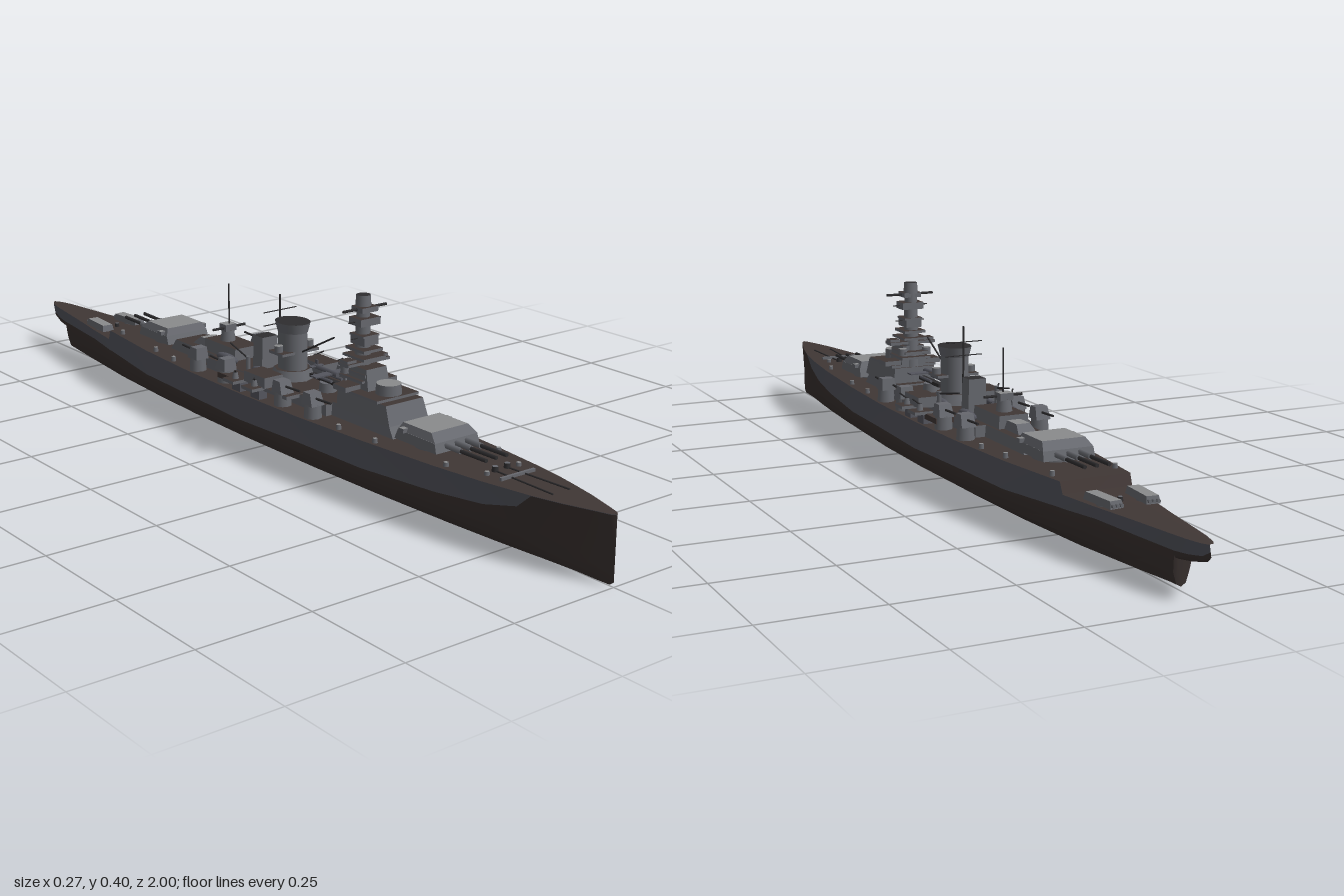
import * as THREE from 'three';
import { toCreasedNormals } from 'three/addons/utils/BufferGeometryUtils.js';

const mat = (name, color, extra = {}) => Object.assign(new THREE.MeshStandardMaterial({ color, ...extra }), { name });

export function createModel() {
  const ship = new THREE.Group();
  ship.name = 'warship';
  const brown = mat('deckBrown', 0x403735), hullDark = mat('hullDark', 0x3a3230), slate = mat('hullSlate', 0x54555e);
  const grey = mat('superstructureGrey', 0x66686e), light = mat('roofLightGrey', 0x8a8b8c), dark = mat('gunmetal', 0x2e2d2f);

  const add = (p, name, geo, m, x = 0, y = 0, z = 0) => {
    const o = new THREE.Mesh(geo, m);
    o.name = name;
    o.position.set(x, y, z);
    p.add(o);
    return o;
  };
  // Box standing on y; its top may be narrowed and its front and back slanted in.
  const house = (p, name, w, h, d, x, y, z, side = grey, top = brown, k = 1, front = 0, back = 0) => {
    const g = new THREE.BoxGeometry(w, h, d).translate(0, h / 2, 0);
    const a = g.attributes.position;
    for (let i = 0; i < a.count; i++) if (a.getY(i) > h / 2) {
      a.setX(i, a.getX(i) * k);
      a.setZ(i, a.getZ(i) + (a.getZ(i) > 0 ? -front : back));
    }
    g.computeVertexNormals();
    return add(p, name, g, [side, side, top, side, side, side], x, y, z);
  };
  const drum = (p, name, r0, r1, h, x, y, z, side = grey, top = side, n = 16) =>
    add(p, name, new THREE.CylinderGeometry(r1, r0, h, n).translate(0, h / 2, 0), [side, top, side], x, y, z);
  const rod = (p, name, a, b, r, m = dark) => {
    const v0 = new THREE.Vector3(...a), v1 = new THREE.Vector3(...b), dir = v1.clone().sub(v0);
    const o = add(p, name, new THREE.CylinderGeometry(r, r, dir.length(), 6), m);
    o.position.copy(v0).add(v1).multiplyScalar(0.5);
    o.quaternion.setFromUnitVectors(new THREE.Vector3(0, 1, 0), dir.normalize());
    return o;
  };
  const group = (name, x, y, z, ry = 0) => {
    const g = new THREE.Group();
    g.name = name;
    g.position.set(x, y, z);
    g.rotation.y = ry;
    ship.add(g);
    return g;
  };
  // Surface through rows of points.
  const loft = (rows, flip) => {
    const n = rows[0].length, idx = [];
    for (let i = 0; i < rows.length - 1; i++) for (let j = 0; j < n - 1; j++) {
      const a = i * n + j, b = a + 1, c = a + n, d = c + 1;
      idx.push(...(flip ? [a, c, b, b, c, d] : [a, b, c, b, d, c]));
    }
    const g = new THREE.BufferGeometry();
    g.setAttribute('position', new THREE.Float32BufferAttribute(rows.flat(2), 3));
    g.setIndex(idx);
    return toCreasedNormals(g, 0.6);
  };

  // Hull stations: z, deck half-width, waterline half-width, keel, paint line, deck height
  const stations = [
    [-1, 0.004, 0.001, 0.088, 0.098, 0.112], [-0.985, 0.013, 0.008, 0.076, 0.088, 0.112],
    [-0.95, 0.022, 0.015, 0.068, 0.083, 0.112], [-0.912, 0.028, 0.02, 0.062, 0.08, 0.112],
    [-0.906, 0.029, 0.02, 0.008, 0.08, 0.112], [-0.8, 0.045, 0.04, 0.005, 0.084, 0.112],
    [-0.7, 0.062, 0.058, 0.003, 0.088, 0.112], [-0.605, 0.077, 0.075, 0.001, 0.085, 0.113],
    [-0.595, 0.078, 0.076, 0.001, 0.085, 0.137], [-0.4, 0.1, 0.1, 0, 0.077, 0.136],
    [-0.2, 0.113, 0.114, 0, 0.08, 0.136], [0, 0.117, 0.118, 0, 0.076, 0.136],
    [0.2, 0.114, 0.114, 0, 0.08, 0.136], [0.4, 0.104, 0.101, 0, 0.076, 0.137],
    [0.6, 0.088, 0.08, 0, 0.082, 0.138], [0.72, 0.074, 0.062, 0, 0.09, 0.139],
    [0.8, 0.061, 0.047, 0, 0.108, 0.14], [0.835, 0.054, 0.039, 0, 0.139, 0.14],
    [0.9, 0.038, 0.024, 0, 0.14, 0.141], [0.96, 0.019, 0.009, 0.001, 0.141, 0.142],
    [0.99, 0.009, 0.003, 0.002, 0.141, 0.142], [1, 0.001, 0.0005, 0.01, 0.141, 0.142]];
  const lower = [], upper = [], deckRows = [];
  for (const [z, w, wl, keel, paint, deck] of stations) {
    const bilge = Math.max(0.072, keel + 0.006);
    const wp = THREE.MathUtils.lerp(wl, w, (paint - bilge) / (deck - bilge));
    const at = (x, f) => [x * wl, keel + (bilge - keel) * f, z];
    lower.push([at(0, 0), at(0.5, 0.1), at(0.86, 0.45), at(1, 0.9), [wp, paint, z]]);
    upper.push([[wp, paint, z], [w, deck, z]]);
    deckRows.push([[-w, deck, z], [0, deck + 0.001, z], [w, deck, z]]);
  }
  const mirror = rows => rows.map(r => r.map(([x, y, z]) => [-x, y, z]));
  add(ship, 'lowerHullLeft', loft(lower, false), hullDark);
  add(ship, 'lowerHullRight', loft(mirror(lower), true), hullDark);
  add(ship, 'upperHullLeft', loft(upper, false), slate);
  add(ship, 'upperHullRight', loft(mirror(upper), true), slate);
  add(ship, 'mainDeck', loft(deckRows, true), brown);

  // Triple main turrets
  for (const [name, y, z, ry] of [['foreTurret', 0.138, 0.515, 0], ['aftTurret', 0.14, -0.43, Math.PI]]) {
    const t = group(name, 0, y, z, ry);
    drum(t, 'barbette', 0.047, 0.047, 0.012, 0, 0, 0, grey, brown, 20);
    house(t, 'turretBody', 0.116, 0.02, 0.125, 0, 0.009, 0, grey, light, 0.98, 0.006, 0.008);
    house(t, 'turretRoof', 0.113, 0.016, 0.112, 0, 0.029, 0.001, grey, light, 0.86, 0.02, 0.008);
    house(t, 'rangefinderArms', 0.13, 0.009, 0.014, 0, 0.029, -0.035, grey, light);
    for (const x of [-0.027, 0, 0.027]) {
      rod(t, 'gunSleeve', [x, 0.02, 0.05], [x, 0.02, 0.1], 0.0065, grey);
      rod(t, 'gunBarrel', [x, 0.02, 0.1], [x, 0.021, 0.172], 0.0045);
    }
  }

  // Long deckhouses
  house(ship, 'foreDeckhouse', 0.1, 0.03, 0.2, 0, 0.136, 0.34, grey, brown, 0.95, 0.02);
  house(ship, 'midDeckhouse', 0.13, 0.026, 0.44, 0, 0.136, 0.02);
  house(ship, 'aftDeckhouse', 0.085, 0.026, 0.2, 0, 0.136, -0.28, grey, brown, 0.95, 0, 0.02);
  house(ship, 'crossDeck', 0.215, 0.012, 0.07, 0, 0.148, -0.06, brown);
  house(ship, 'gunDeck', 0.2, 0.008, 0.1, 0, 0.155, 0.1, grey);

  // Bridge block
  house(ship, 'bridgeBase', 0.105, 0.04, 0.17, 0, 0.162, 0.345, grey, brown, 0.95, 0.015);
  house(ship, 'bridgeDeck', 0.112, 0.006, 0.13, 0, 0.202, 0.33, grey);
  drum(ship, 'conningTower', 0.028, 0.026, 0.026, 0, 0.204, 0.365, grey, light);
  house(ship, 'bridgeWings', 0.14, 0.011, 0.04, 0, 0.207, 0.29, grey);
  house(ship, 'upperBridge', 0.06, 0.045, 0.07, 0, 0.207, 0.3, grey, brown, 0.9, 0.01);

  // Fighting mast with its platforms: half-width, y, height, depth
  drum(ship, 'towerMast', 0.021, 0.014, 0.21, 0, 0.165, 0.28, grey, grey, 12);
  for (const [w, y, h, d] of [[0.036, 0.223, 0.005, 0.075], [0.03, 0.235, 0.006, 0.08], [0.056, 0.256, 0.006, 0.035],
    [0.03, 0.268, 0.005, 0.07], [0.026, 0.283, 0.006, 0.06], [0.019, 0.296, 0.02, 0.045], [0.022, 0.314, 0.004, 0.045],
    [0.026, 0.338, 0.016, 0.04], [0.021, 0.366, 0.011, 0.036]])
    house(ship, 'mastPlatform', w * 2, h, d, 0, y, 0.285, grey);
  drum(ship, 'mastHead', 0.017, 0.015, 0.025, 0, 0.375, 0.28, grey, dark);
  for (const [half, y, r] of [[0.058, 0.372, 0.003], [0.043, 0.346, 0.0015], [0.036, 0.31, 0.0012]])
    rod(ship, 'rangefinderBar', [-half, y, 0.285], [half, y, 0.285], r);
  for (const s of [-1, 1]) {
    house(ship, 'searchlight', 0.024, 0.014, 0.024, s * 0.043, 0.254, 0.285);
    drum(ship, 'bridgeDirector', 0.011, 0.01, 0.016, s * 0.03, 0.232, 0.26, grey, light, 10);
  }

  // Funnel with rim, cap and pole mast
  const oval = drum(ship, 'funnel', 0.036, 0.035, 0.12, 0, 0.158, 0.04, grey, dark, 24);
  oval.scale.x = 0.85;
  drum(ship, 'funnelBase', 0.05, 0.042, 0.025, 0, 0.16, 0.04, grey, brown, 8);
  drum(ship, 'funnelCap', 0.037, 0.043, 0.022, 0, 0.268, 0.04, grey, dark, 24).scale.x = 0.85;
  house(ship, 'funnelPlatform', 0.1, 0.006, 0.05, 0, 0.222, 0.045, grey);
  rod(ship, 'mainMast', [0, 0.16, -0.004], [0, 0.34, -0.006], 0.0022);
  for (const y of [0.275, 0.305]) rod(ship, 'mastYard', [-0.045, y, -0.006], [0.045, y, -0.006], 0.0012);
  rod(ship, 'boom', [0, 0.225, 0.07], [0, 0.285, 0.185], 0.002);
  for (const s of [-1, 1]) {
    drum(ship, 'funnelSearchlight', 0.01, 0.01, 0.014, s * 0.042, 0.228, 0.045, grey, light, 10);
    rod(ship, 'crane', [s * 0.07, 0.15, -0.03], [s * 0.07, 0.205, -0.03], 0.005, grey);
    rod(ship, 'craneJib', [s * 0.07, 0.2, -0.03], [s * 0.06, 0.215, -0.11], 0.002);
  }

  // Catapult and seaplane
  drum(ship, 'catapultPedestal', 0.02, 0.018, 0.022, 0, 0.16, 0.165);
  house(ship, 'catapultRail', 0.014, 0.008, 0.11, 0, 0.181, 0.165, dark, dark);
  const plane = group('seaplane', 0, 0.205, 0.165);
  rod(plane, 'fuselage', [0, 0, 0.034], [0, 0.002, -0.045], 0.006, slate);
  house(plane, 'wing', 0.1, 0.003, 0.02, 0, -0.002, 0.012, slate, slate);
  house(plane, 'tailPlane', 0.034, 0.002, 0.01, 0, 0.002, -0.04, slate, slate);
  house(plane, 'fin', 0.002, 0.014, 0.01, 0, 0.003, -0.04, slate, slate);
  for (const s of [-1, 1]) rod(plane, 'float', [s * 0.014, -0.013, 0.03], [s * 0.014, -0.013, -0.03], 0.0035, slate);

  // Aft control station and its pole
  house(ship, 'aftHouse', 0.07, 0.03, 0.12, 0, 0.16, -0.19, grey, brown, 0.95);
  house(ship, 'aftStep', 0.045, 0.02, 0.085, 0, 0.16, -0.275, grey, light, 0.7, 0, 0.025);
  drum(ship, 'aftDirectorBase', 0.018, 0.014, 0.028, 0, 0.188, -0.205, grey, brown, 12);
  house(ship, 'aftDirector', 0.03, 0.016, 0.026, 0, 0.214, -0.205, grey, light);
  rod(ship, 'aftRangefinder', [-0.045, 0.222, -0.2], [0.045, 0.222, -0.2], 0.003);
  rod(ship, 'aftPole', [0, 0.225, -0.2], [0, 0.325, -0.2], 0.0018);
  house(ship, 'ventTrunk', 0.045, 0.075, 0.034, 0, 0.16, -0.06, grey, dark, 0.9);

  for (const s of [-1, 1]) {
    // Secondary guns along each side
    for (const z of [0.225, 0.12, -0.09, -0.2]) {
      const g = group('secondaryGun', s * 0.088, 0.136, z, z > 0 ? 0 : Math.PI);
      drum(g, 'pedestal', 0.02, 0.018, 0.03, 0, 0, 0, grey, brown, 10);
      house(g, 'gunShield', 0.034, 0.027, 0.036, 0, 0.028, 0, grey, grey, 0.85, 0.01, 0.003);
      rod(g, 'gunBarrel', [0, 0.043, 0.01], [0, 0.045, 0.06], 0.0028);
    }
    // Overhanging side platforms with light guns
    for (const z of [0.05, -0.02]) {
      house(ship, 'sidePlatform', 0.045, 0.007, 0.04, s * 0.11, 0.158, z, grey);
      house(ship, 'platformBracket', 0.022, 0.024, 0.03, s * 0.1, 0.135, z, slate);
      drum(ship, 'lightGunMount', 0.008, 0.005, 0.015, s * 0.112, 0.164, z, grey, dark, 8);
      rod(ship, 'lightGun', [s * 0.112, 0.178, z], [s * 0.123, 0.188, z + 0.015], 0.0018);
    }
    house(ship, 'wingHouse', 0.05, 0.024, 0.075, s * 0.08, 0.163, 0.04, grey, brown);
    // Ship's boats
    for (const z of [0.0, -0.135]) {
      const b = add(ship, 'boat', new THREE.SphereGeometry(1, 12, 8), slate, s * 0.052, 0.172, z);
      b.scale.set(0.011, 0.011, 0.04);
    }
    // Torpedo launchers on the quarterdeck
    const t = group('torpedoLauncher', s * 0.043, 0.111, -0.7, s * 0.08);
    drum(t, 'turntable', 0.013, 0.013, 0.006, 0, 0, 0, grey, dark, 12);
    house(t, 'tubeHousing', 0.03, 0.015, 0.09, 0, 0.005, 0, grey, light, 0.85, 0.004, 0.004);
    for (const x of [-0.009, 0, 0.009]) rod(t, 'torpedoTube', [x, 0.011, -0.05], [x, 0.011, 0.03], 0.004, grey);
    // Deck fittings
    for (const [x, z] of [[0.042, 0.705], [0.07, 0.62], [0.09, 0.43], [0.095, 0.32], [0.095, -0.29], [0.085, -0.38], [0.07, -0.55]])
      drum(ship, 'deckVent', 0.006, 0.005, 0.011, s * x, 0.136, z, grey, light, 8);
    rod(ship, 'anchorChain', [s * 0.016, 0.141, 0.7], [s * 0.022, 0.143, 0.86], 0.002);
    drum(ship, 'capstan', 0.007, 0.006, 0.012, s * 0.016, 0.138, 0.7, dark, grey, 10);
  }
  house(ship, 'breakwater', 0.09, 0.008, 0.006, 0, 0.138, 0.745, grey, grey);
  drum(ship, 'sternCapstan', 0.006, 0.005, 0.01, 0, 0.112, -0.69, dark, grey, 10);
  return ship;
}
